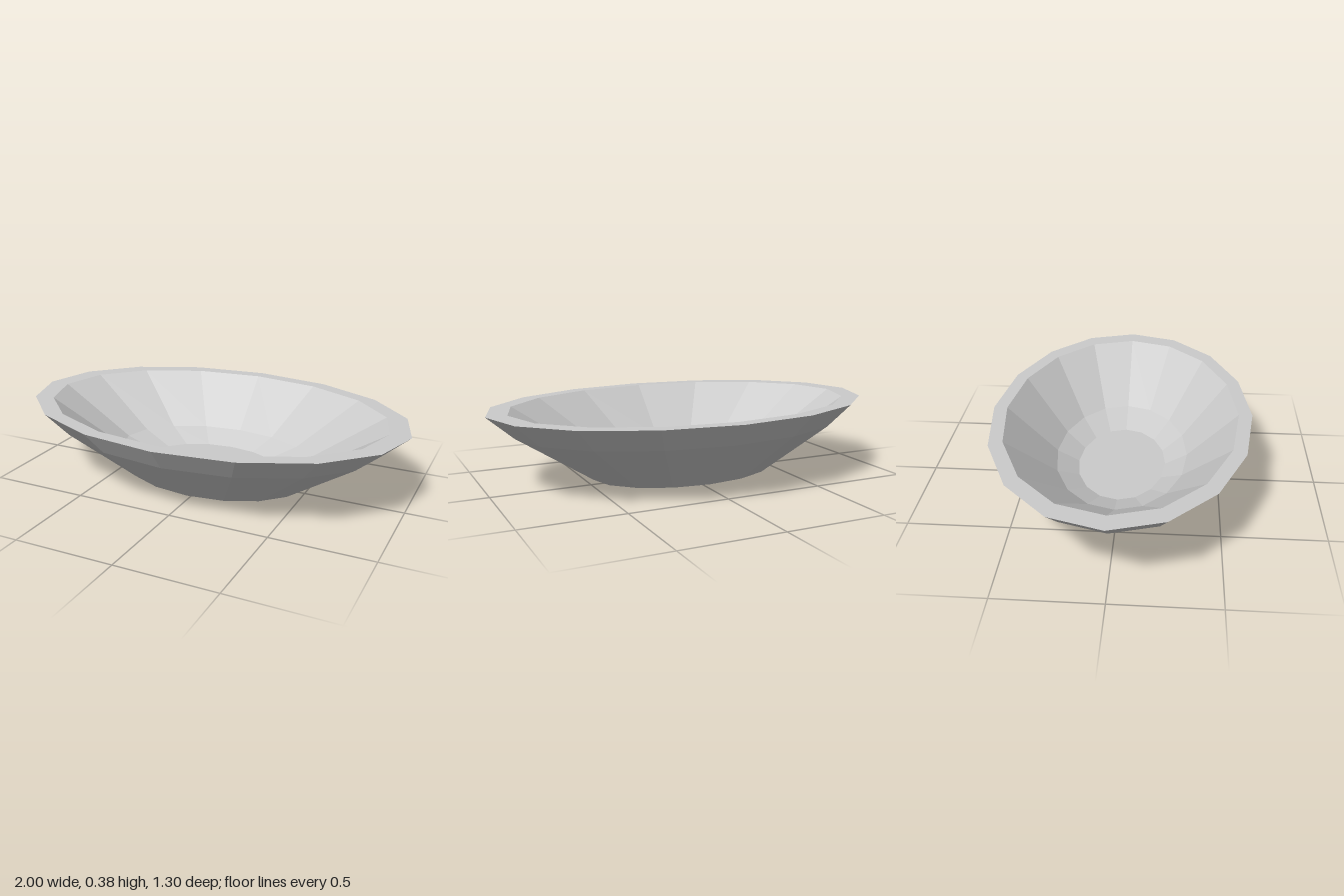
import * as THREE from 'three';

export function createModel() {
  const group = new THREE.Group();
  group.name = 'ovalBowl';

  // Closed profile: underside, outer wall, flat rim, inner wall, raised floor
  const profile = [
    [0, 0], [0.345, 0], [0.485, 0.023], [0.87, 0.27], [1, 0.382],
    [0.897, 0.382], [0.515, 0.14], [0.345, 0.08], [0, 0.08],
  ].map(([r, y]) => new THREE.Vector2(r, y));

  // Sixteen-sided lathe, squashed front to back into an oval
  const geometry = new THREE.LatheGeometry(profile, 16);
  geometry.scale(1, 1, 0.652);

  const material = new THREE.MeshStandardMaterial({ color: 0xcccccc, flatShading: true });
  const bowl = new THREE.Mesh(geometry, material);
  bowl.name = 'bowl';
  group.add(bowl);
  return group;
}
